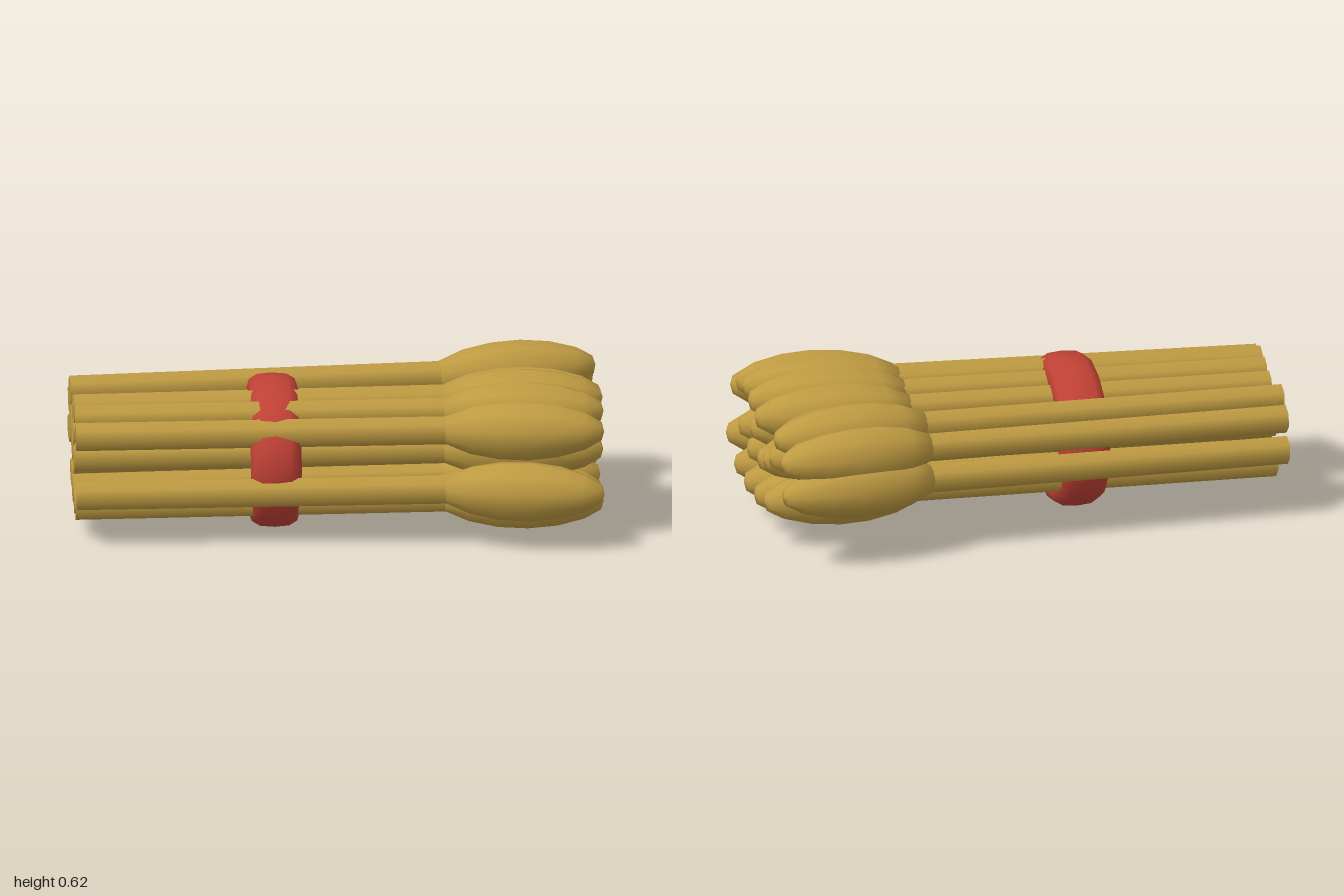
import * as THREE from 'three';

export function createModel() {
  const straw = new THREE.MeshStandardMaterial({ name: 'straw', color: 0xbf9b42 });
  const red = new THREE.MeshStandardMaterial({ name: 'bandRed', color: 0xc04135 });

  const model = new THREE.Group();
  model.name = 'bundle';

  // Bundle lies along local -z and is turned diagonally
  const bundle = new THREE.Group();
  bundle.name = 'tiedStalks';
  bundle.rotation.y = -Math.PI / 4;
  model.add(bundle);

  const BOTTOM_Z = 1.04, NECK_Z = -0.34, TIP_Z = -0.93;

  // Stem of unit height and a blunt, bud-shaped head, both growing along +y
  const stemGeo = new THREE.CylinderGeometry(0.054, 0.054, 1, 7);
  stemGeo.translate(0, 0.5, 0);
  const headProfile = [
    [0, 0], [0.054, 0], [0.09, 0.09], [0.11, 0.2], [0.113, 0.31],
    [0.1, 0.42], [0.071, 0.52], [0.035, 0.58], [0, 0.59],
  ].map(([r, y]) => new THREE.Vector2(r, y));
  const headGeo = new THREE.LatheGeometry(headProfile, 10);

  // Place a part at one point, growing toward another
  const up = new THREE.Vector3(0, 1, 0);
  const grow = (name, geo, from, to) => {
    const mesh = new THREE.Mesh(geo, straw);
    mesh.name = name;
    mesh.position.copy(from);
    mesh.quaternion.setFromUnitVectors(up, to.clone().sub(from).normalize());
    return mesh;
  };

  // Head tip positions across the bundle: [sideways, height]
  const tips = [
    // left side, top and bottom rows
    [0.47, 0.22], [0.39, 0.44], [0.32, 0.15], [0.29, 0.49], [0.15, 0.14],
    [0.18, 0.51], [-0.02, 0.15], [-0.03, 0.46], [-0.18, 0.18], [0.08, 0.49],
    // right side
    [-0.33, 0.48], [-0.46, 0.3], [-0.43, 0.42], [-0.25, 0.38],
    // core
    [0.25, 0.33], [0.1, 0.29], [0.05, 0.39], [-0.07, 0.31], [-0.16, 0.34],
  ];
  tips.forEach(([x, y], i) => {
    const bottom = new THREE.Vector3(x * 0.67, 0.27 + (y - 0.3) * 0.97, BOTTOM_Z);
    const neck = new THREE.Vector3(x * 0.81, 0.295 + (y - 0.3) * 0.96, NECK_Z);
    const tip = new THREE.Vector3(x * 1.02, y, TIP_Z);
    const stalk = new THREE.Group();
    stalk.name = `stalk${i + 1}`;
    const stem = grow('stem', stemGeo, bottom, neck);
    stem.scale.y = bottom.distanceTo(neck) + 0.02;
    stalk.add(stem, grow('head', headGeo, neck, tip));
    bundle.add(stalk);
  });

  // Thick tie with rounded edges, reaching in between the stalks
  const bandProfile = [
    [0.12, 0], [0.13, -0.06], [0.18, -0.088], [0.23, -0.095], [0.262, -0.085], [0.28, -0.055], [0.285, 0],
    [0.28, 0.055], [0.262, 0.085], [0.23, 0.095], [0.18, 0.088], [0.13, 0.06], [0.12, 0],
  ].map(([r, y]) => new THREE.Vector2(r, y));
  const bandGeo = new THREE.LatheGeometry(bandProfile, 16);
  bandGeo.rotateX(Math.PI / 2);
  const band = new THREE.Mesh(bandGeo, red);
  band.name = 'band';
  band.position.set(0.06, 0.285, 0.295);
  band.scale.x = 1.14;
  bundle.add(band);

  return model;
}
